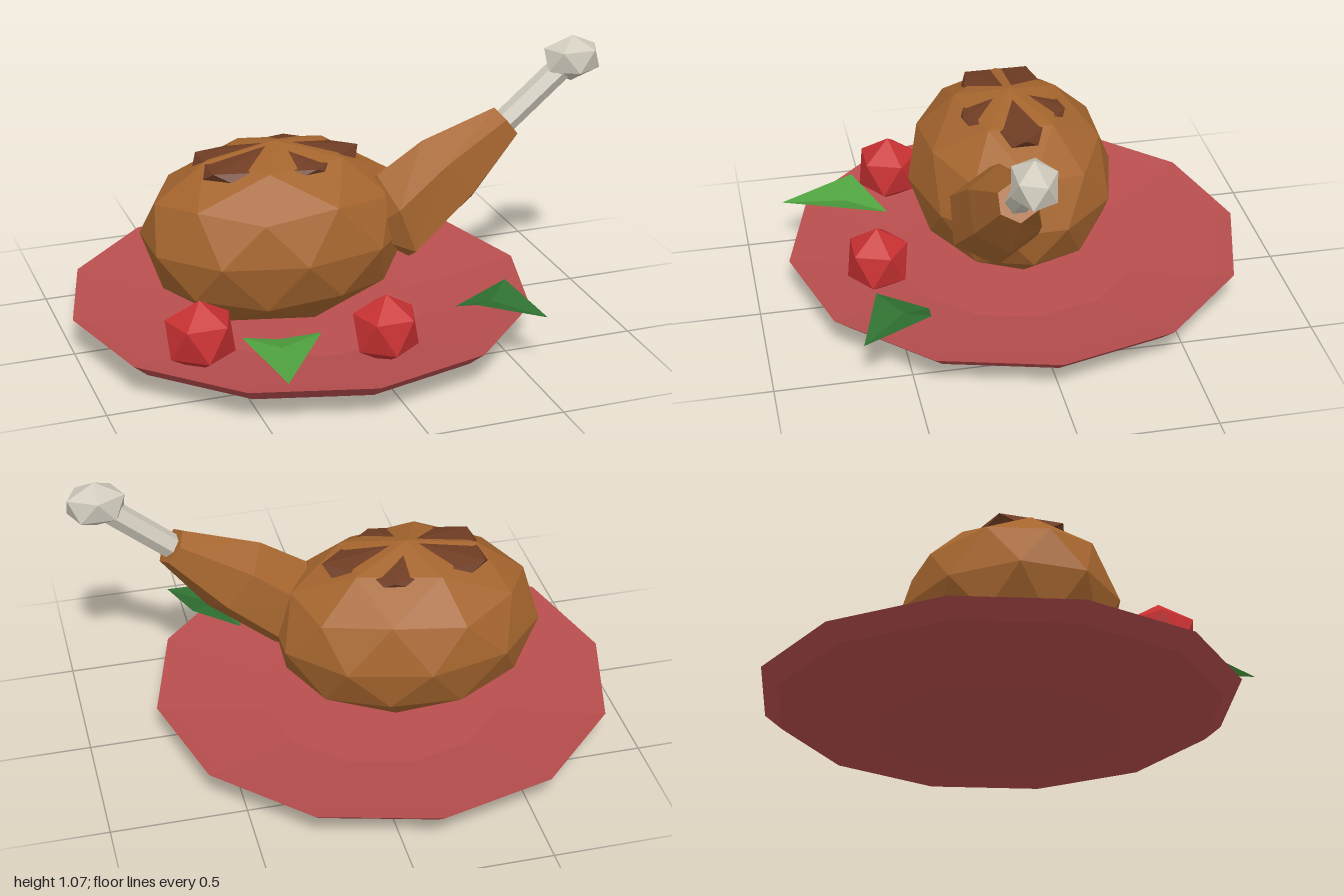
import * as THREE from 'three';

const paint = (name, color, side = THREE.FrontSide) =>
  new THREE.MeshStandardMaterial({ name, color, side, flatShading: true });

export function createModel() {
  const root = new THREE.Group();
  root.name = 'roastOnPlate';
  const plateRed = paint('plateRed', 0xb84e4e);
  const roastBrown = paint('roastBrown', 0xa5652e);
  const glazeBrown = paint('glazeBrown', 0x6f3c23);
  const boneWhite = paint('boneWhite', 0xcfcabc);
  const tomatoRed = paint('tomatoRed', 0xc83032);
  const leafGreen = paint('leafGreen', 0x4fa23f, THREE.DoubleSide);
  const herbGreen = paint('herbGreen', 0x2f7031, THREE.DoubleSide);

  const add = (name, geometry, material) => {
    const mesh = new THREE.Mesh(geometry, material);
    mesh.name = name;
    root.add(mesh);
    return mesh;
  };

  // Faceted ball standing on one corner, turned about y, then stretched
  const ball = (name, material, [x, y, z], [rx, ry, rz], turn, detail = 0) => {
    const g = new THREE.IcosahedronGeometry(1, detail);
    g.rotateZ(-Math.atan(2 / (1 + Math.sqrt(5))));
    g.rotateY(turn);
    g.scale(rx, ry, rz);
    return add(name, g, material).position.set(x, y, z);
  };

  const faces = (points, index) => {
    const g = new THREE.BufferGeometry();
    g.setAttribute('position', new THREE.Float32BufferAttribute(points.flat(), 3));
    g.setIndex(index);
    const flat = g.toNonIndexed();
    flat.computeVertexNormals();
    return flat;
  };

  // Twelve-sided dished plate
  const profile = [[0, 0], [0.47, 0], [0.805, 0.08], [0.87, 0.137], [0.81, 0.125], [0.46, 0.07], [0, 0.07]];
  const plate = new THREE.LatheGeometry(profile.map(([r, y]) => new THREE.Vector2(r, y)), 12);
  add('plate', plate, plateRed).position.x = -0.13;

  // Roast body and the darker glaze on top
  ball('roastBody', roastBrown, [-0.22, 0.395, 0], [0.515, 0.345, 0.393], Math.PI, 1);
  ball('glazedTop', glazeBrown, [-0.226, 0.643, 0], [0.365, 0.093, 0.229], 0);

  // Drumstick: hexagonal rings given by upper point, lower point and half width
  const rings = [
    [0.09, 0.51, 0.16, 0.33, 0.1],
    [0.125, 0.61, 0.255, 0.267, 0.155],
    [0.3, 0.722, 0.506, 0.476, 0.122],
    [0.586, 0.818, 0.677, 0.7, 0.065],
  ];
  const legZ = 0.14;
  const points = [], index = [];
  rings.forEach(([ux, uy, lx, ly, half], r) => {
    for (let k = 0; k < 6; k++) {
      const a = k * Math.PI / 3, c = Math.cos(a) / 2;
      points.push([(ux + lx) / 2 + c * (ux - lx), (uy + ly) / 2 + c * (uy - ly),
        legZ + Math.sin(a) * half / 0.866]);
      if (r < rings.length - 1) {
        const p = r * 6 + k, q = r * 6 + (k + 1) % 6;
        index.push(p, q, p + 6, q, q + 6, p + 6);
      }
    }
  });
  const last = (rings.length - 1) * 6;
  for (let k = 1; k < 5; k++) index.push(0, k + 1, k, last, last + k, last + k + 1);
  add('drumstick', faces(points, index), roastBrown);

  // Bone shaft and knob
  const from = new THREE.Vector3(0.59, 0.725, legZ), to = new THREE.Vector3(0.88, 0.97, legZ);
  const shaft = add('boneShaft', new THREE.CylinderGeometry(0.046, 0.046, from.distanceTo(to), 6), boneWhite);
  shaft.position.lerpVectors(from, to, 0.5);
  shaft.quaternion.setFromUnitVectors(new THREE.Vector3(0, 1, 0), to.clone().sub(from).normalize());
  ball('boneKnob', boneWhite, [0.894, 0.978, legZ], [0.121, 0.0885, 0.088], Math.PI / 2);

  // Tomatoes
  ball('tomatoRight', tomatoRed, [-0.635, 0.208, 0.413], [0.138, 0.135, 0.133], Math.PI / 2);
  ball('tomatoFront', tomatoRed, [0.01, 0.194, 0.55], [0.132, 0.133, 0.128], Math.PI / 2);

  // Folded leaves: base, left wing, tip, right wing, raised middle of the crease
  const leaf = (name, material, corners) =>
    add(name, faces(corners, [0, 4, 3, 4, 2, 3, 0, 1, 4, 1, 2, 4]), material);
  leaf('leafRight', leafGreen, [
    [-0.36, 0.17, 0.46], [-0.53, 0.257, 0.575], [-0.455, 0.205, 0.86], [-0.265, 0.267, 0.645], [-0.4, 0.218, 0.62]]);
  leaf('leafLeft', herbGreen, [
    [0.335, 0.166, 0.41], [0.335, 0.257, 0.6], [0.58, 0.205, 0.68], [0.52, 0.257, 0.43], [0.43, 0.222, 0.515]]);

  return root;
}
